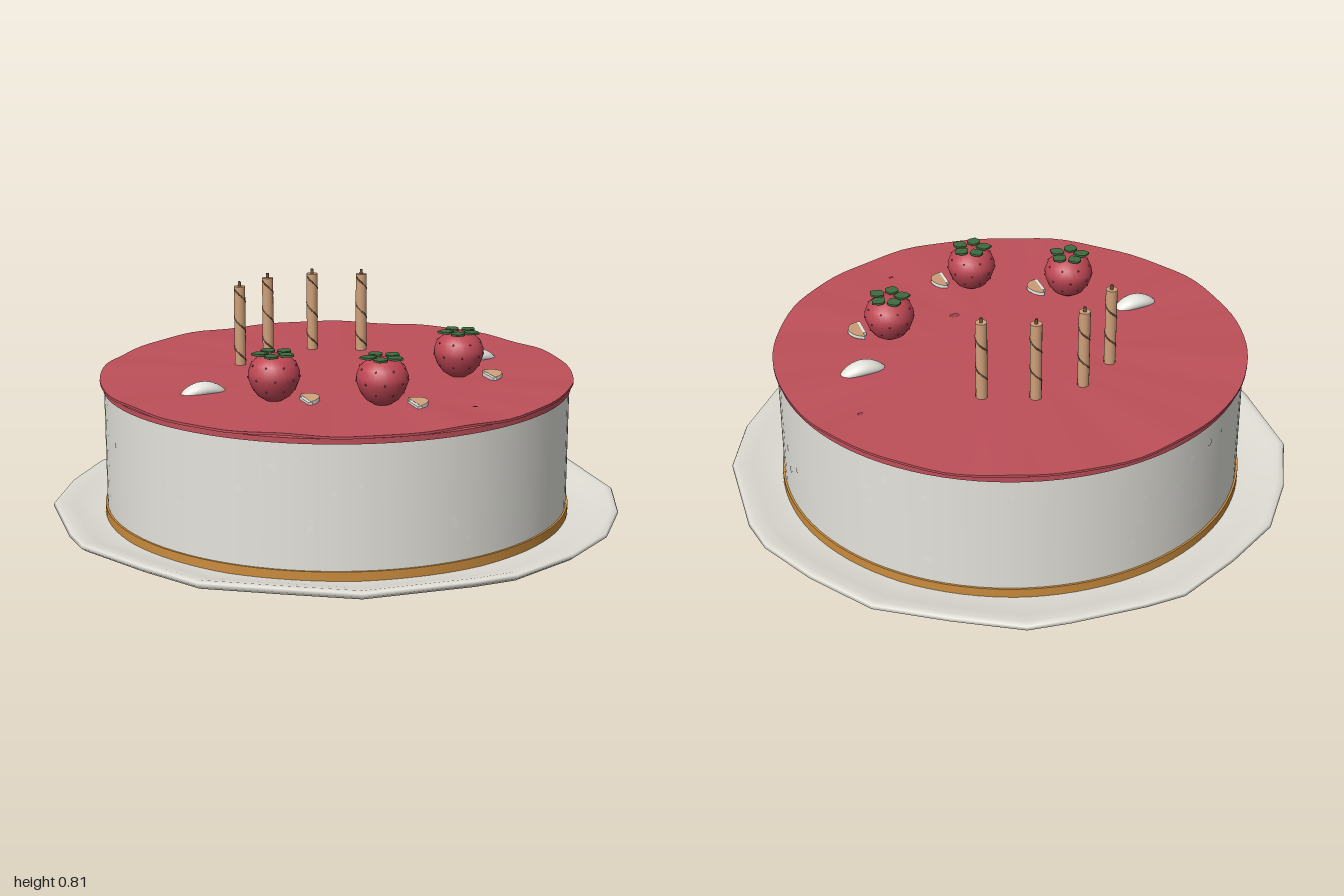
import * as THREE from 'three';
import { toCreasedNormals } from 'three/addons/utils/BufferGeometryUtils.js';

const mat = (name, color, side = THREE.FrontSide) => {
  const m = new THREE.MeshStandardMaterial({ color, side });
  m.name = name;
  return m;
};

export function createModel() {
  const cake = new THREE.Group();
  cake.name = 'cake';
  const M = {
    plate: mat('porcelain', 0xdfddd4),
    cream: mat('cream', 0xe4e3dc, THREE.DoubleSide),
    glaze: mat('red glaze', 0xbd4f59, THREE.DoubleSide),
    dark: mat('dark red', 0x98404a, THREE.DoubleSide),
    berry: mat('berry red', 0xbe4754),
    leaf: mat('leaf green', 0x3f6b40, THREE.DoubleSide),
    crust: mat('golden crust', 0xcb8c3d),
    wax: mat('candle tan', 0xcfa07a),
    brown: mat('brown', 0x76553c),
    fleck: mat('pale fleck', 0xf2f1ec, THREE.DoubleSide),
  };
  const add = (parent, name, geo, material, x = 0, y = 0, z = 0) => {
    const mesh = new THREE.Mesh(geo, material);
    mesh.name = name;
    mesh.position.set(x, y, z);
    parent.add(mesh);
    return mesh;
  };
  let seed = 7;
  const rand = () => (seed = (seed * 16807) % 2147483647) / 2147483647;
  const lathe = (pts, n) => new THREE.LatheGeometry(pts.map(p => new THREE.Vector2(...p)), n);

  // Hand-formed plate: one uneven outline scaled along a profile
  const outline = [
    [-0.14, -1], [0, -0.995], [0.26, -0.96], [0.4, -0.93], [0.6, -0.78], [0.8, -0.61],
    [0.92, -0.37], [0.995, -0.145], [1, 0], [0.93, 0.38], [0.8, 0.6], [0.61, 0.8],
    [0.395, 0.92], [0.13, 1], [-0.02, 0.99], [-0.385, 0.925], [-0.59, 0.77], [-0.8, 0.605],
    [-0.9, 0.38], [-1, 0.1], [-0.995, -0.03], [-0.93, -0.385], [-0.78, -0.61], [-0.6, -0.8], [-0.38, -0.91],
  ];
  const profile = [[0, 0], [0.72, 0], [0.9, 0.014], [0.985, 0.034], [1, 0.046], [0.995, 0.056],
    [0.975, 0.059], [0.93, 0.05], [0.87, 0.035], [0.8, 0.03], [0, 0.03]];
  const pos = [], idx = [], n = outline.length;
  profile.forEach(([s, y], i) => outline.forEach(([x, z], j) => {
    pos.push(x * s, y, z * s);
    if (i === profile.length - 1) return;
    const a = i * n + j, b = i * n + (j + 1) % n;
    idx.push(a, a + n, b, b, a + n, b + n);
  }));
  const plateGeo = new THREE.BufferGeometry();
  plateGeo.setAttribute('position', new THREE.Float32BufferAttribute(pos, 3));
  plateGeo.setIndex(idx);
  plateGeo.computeVertexNormals();
  add(cake, 'plate', plateGeo, M.plate);

  // Crust, cream body and glaze layer
  add(cake, 'crust', new THREE.CylinderGeometry(0.822, 0.822, 0.035, 96), M.crust, 0, 0.046, 0);
  add(cake, 'creamBody', new THREE.CylinderGeometry(0.815, 0.815, 0.42, 96), M.cream, 0, 0.273, 0);
  add(cake, 'glazeLayer', new THREE.CylinderGeometry(0.82, 0.82, 0.018, 96), M.glaze, 0, 0.491, 0);

  // Glaze sheet with a gently rippled edge
  const sheet = new THREE.CylinderGeometry(0.829, 0.829, 0.008, 96, 1);
  const p = sheet.attributes.position;
  for (let i = 0; i < p.count; i++) {
    const x = p.getX(i), z = p.getZ(i), a = Math.atan2(z, x);
    if (Math.hypot(x, z) > 0.5) p.setY(i, p.getY(i) + 0.003 * Math.sin(a * 9) + 0.002 * Math.sin(a * 17 + 1));
  }
  add(cake, 'glazeSheet', toCreasedNormals(sheet, 0.6), M.glaze, 0, 0.508, 0);
  [[0.09, 0.27, 0.02], [0.54, 0.55, 0.022], [0.18, 0.64, 0.01], [0.65, -0.2, 0.012]].forEach(([x, z, r]) => {
    const spot = add(cake, 'glazeSpot', new THREE.CircleGeometry(r, 7), M.dark, x, 0.5145, z);
    spot.rotation.x = -Math.PI / 2;
    spot.scale.y = 0.7;
  });

  // Flecks around the side
  for (let i = 0; i < 44; i++) {
    const a = rand() * Math.PI * 2, w = 0.012 + rand() * 0.018;
    const fleck = add(cake, 'fleck', new THREE.CircleGeometry(w / 2, 5), M.fleck,
      Math.sin(a) * 0.8165, 0.11 + rand() * 0.33, Math.cos(a) * 0.8165);
    fleck.rotation.y = a;
  }

  // Candles with a wound thread and a wick
  class Helix extends THREE.Curve {
    getPoint(t, v = new THREE.Vector3()) {
      const a = t * Math.PI * 5;
      return v.set(Math.cos(a) * 0.019, t * 0.27, Math.sin(a) * 0.019);
    }
  }
  const helixGeo = new THREE.TubeGeometry(new Helix(), 60, 0.003, 5);
  [[-0.253, -0.262], [-0.098, -0.358], [0.083, -0.36], [0.241, -0.272]].forEach(([x, z]) => {
    const candle = new THREE.Group();
    candle.name = 'candle';
    candle.position.set(x, 0.508, z);
    add(candle, 'candleStick', new THREE.CylinderGeometry(0.02, 0.02, 0.287, 16), M.wax, 0, 0.1435, 0);
    add(candle, 'candleThread', helixGeo, M.brown, 0, 0.008, 0);
    add(candle, 'wick', new THREE.CylinderGeometry(0.005, 0.006, 0.018, 8), M.brown, 0, 0.295, 0);
    cake.add(candle);
  });

  // Strawberries with leaf crowns, each beside a sliced almond
  const berryGeo = lathe([[0, 0], [0.03, 0.004], [0.055, 0.02], [0.074, 0.046], [0.086, 0.078],
    [0.087, 0.1], [0.076, 0.129], [0.053, 0.15], [0.025, 0.158], [0, 0.158]], 24);
  const leafShape = new THREE.Shape();
  leafShape.moveTo(0.018, 0);
  leafShape.quadraticCurveTo(0.04, 0.036, 0.062, 0.018);
  leafShape.lineTo(0.076, 0);
  leafShape.lineTo(0.062, -0.018);
  leafShape.quadraticCurveTo(0.04, -0.036, 0.018, 0);
  const leafGeo = new THREE.ExtrudeGeometry(leafShape, { depth: 0.007, bevelEnabled: false, curveSegments: 6 });
  leafGeo.rotateX(-Math.PI / 2);
  const sliceShape = new THREE.Shape();
  sliceShape.moveTo(0, -0.055);
  sliceShape.quadraticCurveTo(0.045, -0.04, 0.048, 0.005);
  sliceShape.quadraticCurveTo(0.04, 0.05, 0, 0.055);
  sliceShape.closePath();
  const sliceGeo = new THREE.ExtrudeGeometry(sliceShape, { depth: 0.012, bevelEnabled: false });
  sliceGeo.rotateX(-Math.PI / 2);
  [[-0.36, 0.247], [-0.065, 0.455], [0.355, 0.24]].forEach(([x, z]) => {
    const berry = new THREE.Group();
    berry.name = 'strawberry';
    berry.position.set(x, 0.508, z);
    add(berry, 'berryBody', berryGeo, M.berry);
    for (let i = 0; i < 5; i++)
      add(berry, 'leaf', leafGeo, M.leaf, 0, 0.157, 0).rotation.y = Math.PI / 2 + i * Math.PI * 0.4;
    for (let row = 0; row < 3; row++) for (let i = 0; i < 8; i++) {
      const a = (i + row * 0.5) * Math.PI / 4, r = [0.0735, 0.0865, 0.077][row];
      add(berry, 'seed', new THREE.SphereGeometry(0.0035, 6, 4), M.dark,
        Math.sin(a) * r, [0.046, 0.083, 0.127][row], Math.cos(a) * r);
    }
    cake.add(berry);
    const slice = add(cake, 'almondSlice', sliceGeo, [M.wax, M.cream], x + 0.083, 0.512, z + 0.07);
    slice.rotation.set(0, -0.12, 0.12);
    const edge = add(cake, 'almondEdge', new THREE.BoxGeometry(0.016, 0.012, 0.085), M.cream, x + 0.076, 0.517, z + 0.085);
    edge.rotation.y = -0.12;
  });

  // Arched cream curls
  const curlGeo = new THREE.SphereGeometry(1, 24, 14);
  curlGeo.scale(0.086, 0.026, 0.037);
  const c = curlGeo.attributes.position;
  for (let i = 0; i < c.count; i++) c.setY(i, c.getY(i) - 3 * c.getX(i) ** 2);
  curlGeo.computeVertexNormals();
  [-1, 1].forEach(s => add(cake, 'creamCurl', curlGeo, M.cream, s * 0.535, 0.524, 0.057));

  return cake;
}
